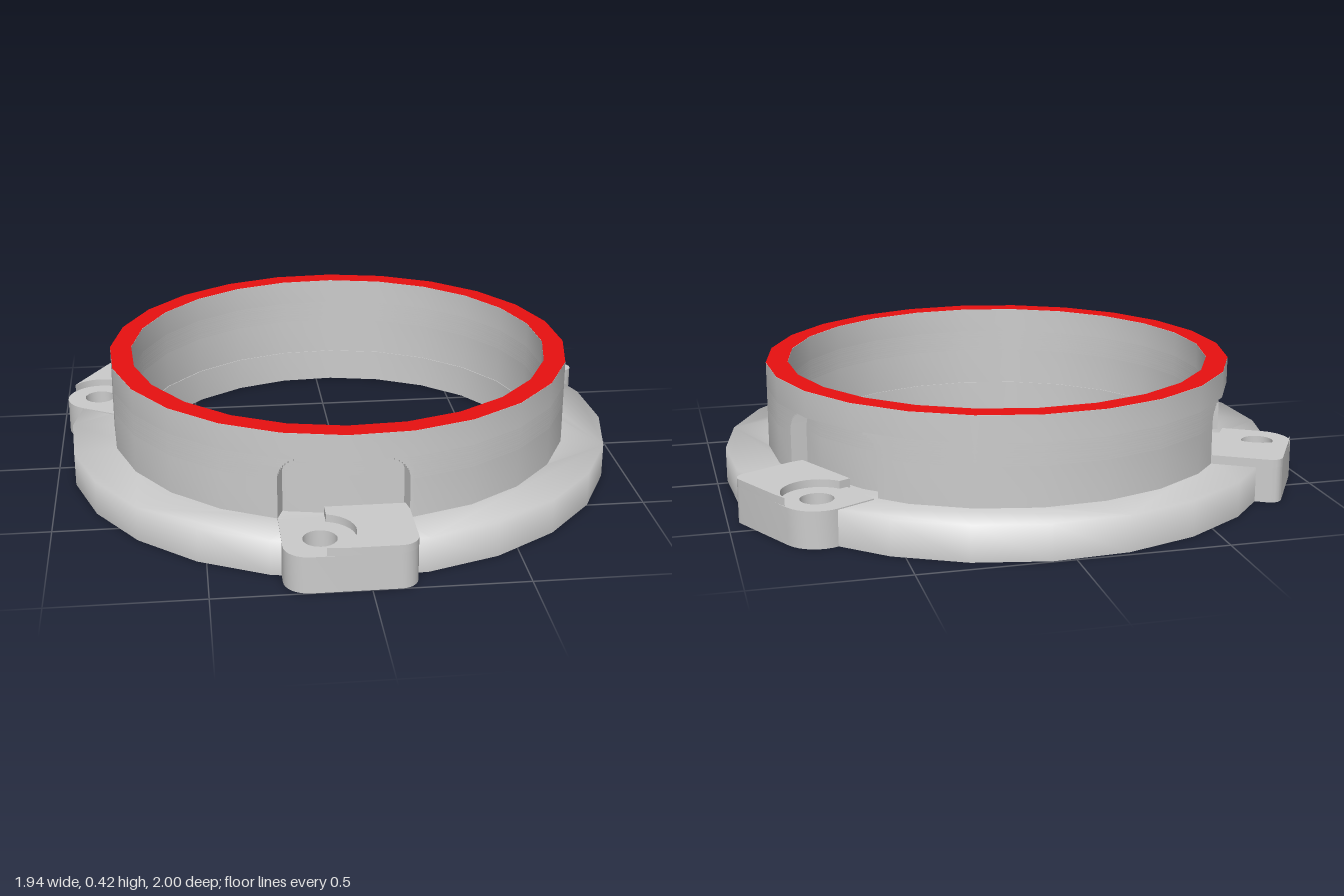
import * as THREE from 'three';
import { toCreasedNormals } from 'three/addons/utils/BufferGeometryUtils.js';

const rad = THREE.MathUtils.degToRad;
const SIDES = 24, STEP = 360 / SIDES, PHASE = -4;
const grey = new THREE.MeshStandardMaterial({ color: 0xcccccc });
const red = new THREE.MeshStandardMaterial({ color: 0xe81010 });

// Angle 0 faces the front (+z); shape y becomes world z.
const polar = (deg, r) => new THREE.Vector2(r * Math.sin(rad(deg)), r * Math.cos(rad(deg)));
const polygon = (r) => Array.from({ length: SIDES }, (_, i) => polar(PHASE + i * STEP, r));
const arc = (x, z, r, from, to, n = 8) => Array.from({ length: n + 1 }, (_, i) =>
  polar(from + (to - from) * i / n, r).add(new THREE.Vector2(x, z)));
const mod = (a, n) => ((a % n) + n) % n;

// Radius of the many-sided outline at any angle
const facetRadius = (deg, r) =>
  r * Math.cos(rad(STEP / 2)) / Math.cos(rad(mod(deg - PHASE, STEP) - STEP / 2));

// Horizontal slab from an outline with optional holes, all wound the same way
function slab(points, y0, y1, holes = []) {
  const ccw = (p) => (THREE.ShapeUtils.isClockWise(p) ? [...p].reverse() : p);
  const shape = new THREE.Shape(ccw(points));
  shape.holes = holes.map((h) => new THREE.Path(ccw(h)));
  const g = new THREE.ExtrudeGeometry(shape, { depth: y1 - y0, bevelEnabled: false });
  g.rotateX(Math.PI / 2).translate(0, y1, 0);
  return toCreasedNormals(g, 0.5);
}

function mesh(name, geometry, material = grey) {
  const m = new THREE.Mesh(geometry, material);
  m.name = name;
  return m;
}

// One front tab and two mirrored ones at the back
const TABS = [
  { name: 'frontTab', angle: 0, side: 1, screwZ: 0.918, outer: 1.038, round: 0.08, corner: 0.06, plug: [0.03, 0.06] },
  { name: 'leftTab', angle: 118, side: -1, screwZ: 0.905, outer: 1.023, round: 0.115, corner: 0.04, plug: [0.004, 0.07] },
  { name: 'rightTab', angle: -120, side: -1, screwZ: 0.91, outer: 1.026, round: 0.115, corner: 0.04, plug: [0.004, 0.07] },
];
const SCREW_X = -0.157, TAB_MIN = -0.277, TAB_MAX = 0.143, HOLE = 0.055;
const FLANGE_TOP = 0.12, TAB_TOP = 0.15, POCKET_TOP = 0.33, TOP = 0.42;

// Many-sided outline cut back to a smaller radius at each tab
function notchedOutline(outer, floor, from, to) {
  const notches = TABS.map(({ angle, side }) =>
    [from * side, to * side].sort((p, q) => p - q).map((v) => v + angle));
  const inside = (a) => notches.some(([s, e]) => mod(a - s, 360) < e - s);
  const list = [];
  for (let i = 0; i < SIDES; i++) {
    const a = PHASE + i * STEP;
    list.push([a, inside(a) ? floor : outer]);
  }
  for (const [s, e] of notches) {
    list.push([s, facetRadius(s, outer)], [s + 0.01, facetRadius(s, floor)]);
    list.push([e - 0.01, facetRadius(e, floor)], [e, facetRadius(e, outer)]);
  }
  return list.map(([a, r]) => [mod(a, 360), r]).sort((p, q) => p[0] - q[0]).map(([a, r]) => polar(a, r));
}

function makeWall() {
  const wall = new THREE.Group();
  wall.name = 'wall';
  const bore = [polygon(0.735)];
  const corner = 0.075, steps = 10;
  const outline = (inset) => notchedOutline(0.81, 0.752, -20 + inset, 10.2 - inset);
  wall.add(mesh('pocketWall', slab(outline(0), FLANGE_TOP, POCKET_TOP - corner, bore)));
  // Rounded upper corners of the pockets
  for (let i = 0; i < steps; i++) {
    const t = (i + 0.5) / steps;
    const y = POCKET_TOP - corner + corner * i / steps;
    const inset = 5.3 * (1 - Math.sqrt(1 - t * t));
    wall.add(mesh('pocketCorner', slab(outline(inset), y, y + corner / steps, bore)));
  }
  wall.add(mesh('upperWall', slab(polygon(0.81), POCKET_TOP, TOP - 0.001, bore)));
  return wall;
}

function makeFlange() {
  // Notched where the tabs fill it, leaving their screw holes clear
  const g = slab(notchedOutline(0.96, 0.8, -15, 7.5), 0, FLANGE_TOP, [polygon(0.732)]);
  // Soft shading over the outer upper edge
  const p = g.attributes.position, n = g.attributes.normal;
  for (let i = 0; i < p.count; i++) {
    const r = Math.hypot(p.getX(i), p.getZ(i));
    if (r > 0.95 && p.getY(i) > 0.1) {
      const v = new THREE.Vector3(p.getX(i) / r, 0.8, p.getZ(i) / r).normalize();
      n.setXYZ(i, v.x, v.y, v.z);
    }
  }
  return mesh('flange', g);
}

function makeTab({ name, angle, side, screwZ, outer, round, corner, plug }) {
  const tab = new THREE.Group();
  tab.name = name;
  tab.rotation.y = rad(angle);
  const mirror = (pts) => pts.map((p) => new THREE.Vector2(p.x * side, p.y));
  const inner = 0.752;
  const squareEnd = [
    ...arc(TAB_MAX - corner, outer - corner, corner, 0, 90),
    new THREE.Vector2(TAB_MAX, inner),
  ];
  // Lower plate with the screw hole
  const plate = [
    new THREE.Vector2(TAB_MIN, inner + 0.02),
    ...arc(TAB_MIN + round, outer - round, round, -90, 0),
    ...squareEnd,
  ];
  const hole = mirror(arc(SCREW_X, screwZ, HOLE, 0, 345, 23));
  tab.add(mesh('tabPlate', slab(mirror(plate), 0, FLANGE_TOP + 0.004, [hole])));
  // Raised half, cut round the screw seat
  const raised = [
    new THREE.Vector2(-0.127, inner),
    ...arc(SCREW_X, screwZ, 0.115, 165, 5, 14),
    new THREE.Vector2(SCREW_X + 0.06, outer),
    ...squareEnd,
  ];
  tab.add(mesh('raisedStep', slab(mirror(raised), FLANGE_TOP, TAB_TOP)));
  // Floor of the screw hole
  tab.add(mesh('holeFloor', slab(hole, plug[0], plug[1])));
  return tab;
}

export function createModel() {
  const model = new THREE.Group();
  model.name = 'mountingRing';
  const body = new THREE.Group();
  body.name = 'body';
  body.position.set(0.007, 0, -0.038);
  model.add(body);
  body.add(makeFlange(), makeWall(), ...TABS.map(makeTab));

  // Coloured top rim
  const rim = new THREE.RingGeometry(0.735, 0.81, SIDES, 1, rad(PHASE - 90));
  rim.rotateX(-Math.PI / 2).translate(0, TOP, 0);
  body.add(mesh('topRim', rim, red));
  return model;
}
